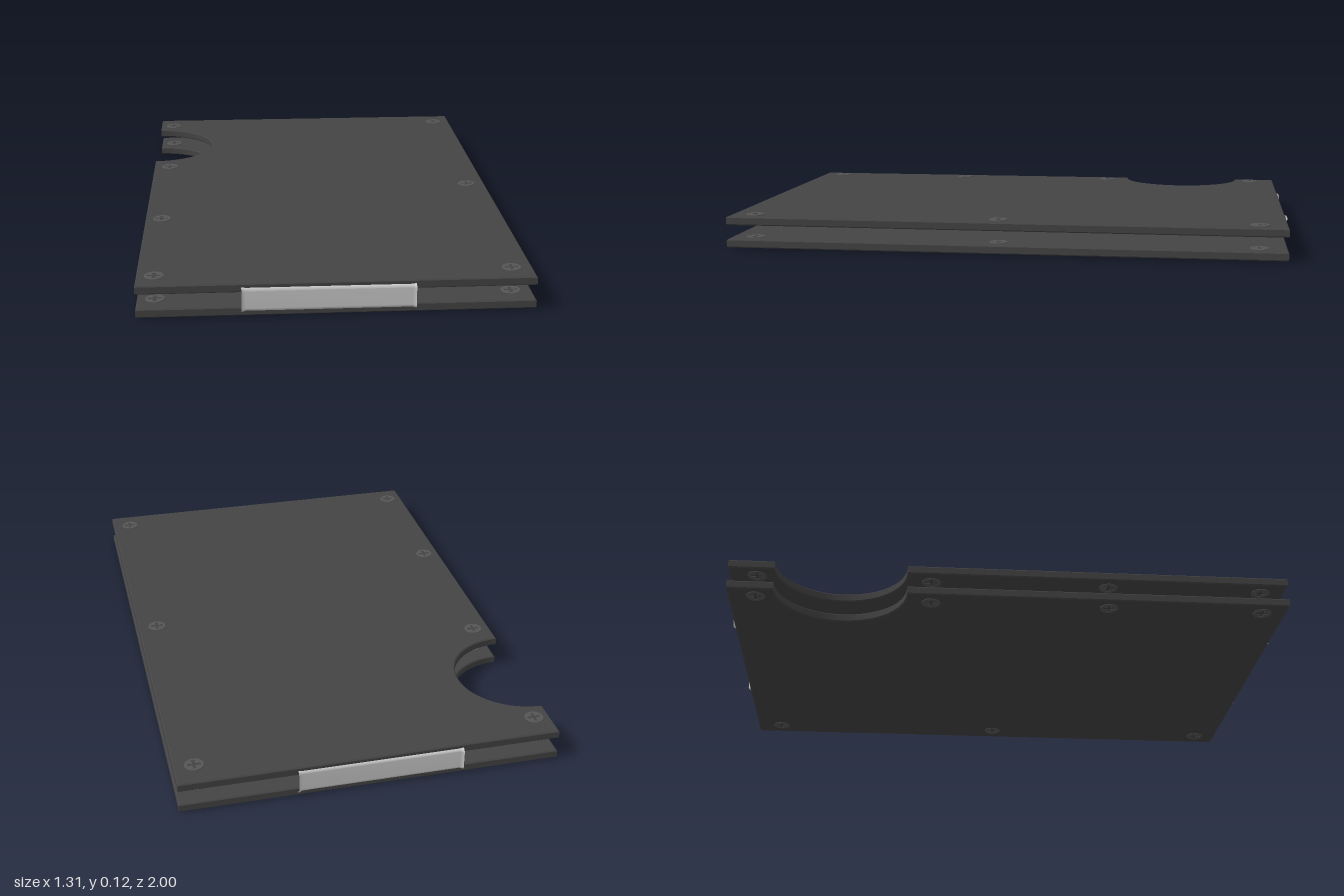
import * as THREE from 'three';

const plateMat = new THREE.MeshStandardMaterial({ color: 0x444444 });
const screwMat = new THREE.MeshStandardMaterial({ color: 0x555555 });
const bandMat = new THREE.MeshStandardMaterial({ color: 0xcccccc, side: THREE.DoubleSide });

const HALF_W = 0.655, HALF_L = 0.986;
const SCREWS = [[-0.6, -0.89], [0.585, -0.89], [-0.592, -0.28], [0.585, 0.015],
  [-0.595, 0.35], [-0.595, 0.9], [0.585, 0.9]];

// Extrudes an outline drawn in (x, z) upward, with its base at y = 0.
function slab(shape, height, bevel, curveSegments) {
  const geo = new THREE.ExtrudeGeometry(shape, {
    depth: height - 2 * bevel, bevelThickness: bevel, bevelSize: bevel,
    bevelOffset: -bevel, bevelSegments: 1, curveSegments,
  });
  geo.rotateX(Math.PI / 2);
  geo.translate(0, height - bevel, 0);
  return geo;
}

// Rectangular plate with a half-round thumb notch in one long side.
function plateGeometry() {
  const s = new THREE.Shape();
  s.moveTo(-HALF_W, -HALF_L);
  s.lineTo(HALF_W, -HALF_L);
  s.lineTo(HALF_W, HALF_L);
  s.lineTo(-HALF_W, HALF_L);
  s.lineTo(-HALF_W, -0.365);
  s.absarc(-HALF_W, -0.595, 0.23, Math.PI / 2, -Math.PI / 2, true);
  return slab(s, 0.03, 0.004, 48);
}

// Round screw head with a cross-shaped recess.
function screwGeometry() {
  const s = new THREE.Shape();
  s.absarc(0, 0, 0.033, 0, Math.PI * 2, false);
  const a = 0.005, b = 0.022;
  const cross = [[a, a], [a, b], [-a, b], [-a, a], [-b, a], [-b, -a],
    [-a, -a], [-a, -b], [a, -b], [a, -a], [b, -a], [b, a]];
  s.holes.push(new THREE.Path(cross.map(([x, y]) => new THREE.Vector2(x, y)).reverse()));
  return slab(s, 0.036, 0.0015, 16);
}

// Elastic loop: a rounded profile in (z, y) swept across x, flaring at its side edges.
function bandGeometry() {
  const profile = [];
  const corner = 0.012, yLow = 0.018, yHigh = 0.102, zEnd = 0.99;
  const corners = [[1, yHigh, 0], [-1, yHigh, 1], [-1, yLow, 2], [1, yLow, 3]];
  for (const [side, y, turn] of corners) {
    const cy = y === yHigh ? y - corner : y + corner;
    for (let i = 0; i <= 4; i++) {
      const t = (turn + i / 4) * Math.PI / 2;
      profile.push([side * (zEnd - corner) + corner * Math.cos(t), cy + corner * Math.sin(t)]);
    }
  }
  profile.push(profile[0]);
  const columns = [[-0.312, 0.01], [-0.3, 0.002], [0.245, 0.002], [0.257, 0.01]];
  const pos = [], index = [];
  for (const [x, flare] of columns)
    for (const [z, y] of profile) pos.push(x, y, z + Math.sign(z) * flare);
  const n = profile.length;
  for (let c = 0; c < columns.length - 1; c++)
    for (let i = 0; i < n - 1; i++) {
      const p = c * n + i, q = p + n;
      index.push(p, q, p + 1, q, q + 1, p + 1);
    }
  const geo = new THREE.BufferGeometry();
  geo.setAttribute('position', new THREE.Float32BufferAttribute(pos, 3));
  // Wind the faces so that they point outward.
  for (let i = 0; i < index.length; i += 3) [index[i + 1], index[i + 2]] = [index[i + 2], index[i + 1]];
  geo.setIndex(index);
  geo.computeVertexNormals();
  return geo;
}

export function createModel() {
  const model = new THREE.Group();
  model.name = 'cardHolder';
  const plateGeo = plateGeometry(), screwGeo = screwGeometry();

  // Two identical plates, each with its set of screws
  for (const [name, y] of [['bottomPlate', 0], ['topPlate', 0.081]]) {
    const group = new THREE.Group();
    group.name = name;
    group.position.y = y;
    const plate = new THREE.Mesh(plateGeo, plateMat);
    plate.name = 'plate';
    plate.position.y = 0.003;
    group.add(plate);
    for (const [x, z] of SCREWS) {
      const screw = new THREE.Mesh(screwGeo, screwMat);
      screw.name = 'screw';
      screw.position.set(x, 0, z);
      group.add(screw);
    }
    model.add(group);
  }

  // Elastic band joining the plates at front and back
  const band = new THREE.Mesh(bandGeometry(), bandMat);
  band.name = 'elasticBand';
  model.add(band);
  return model;
}
